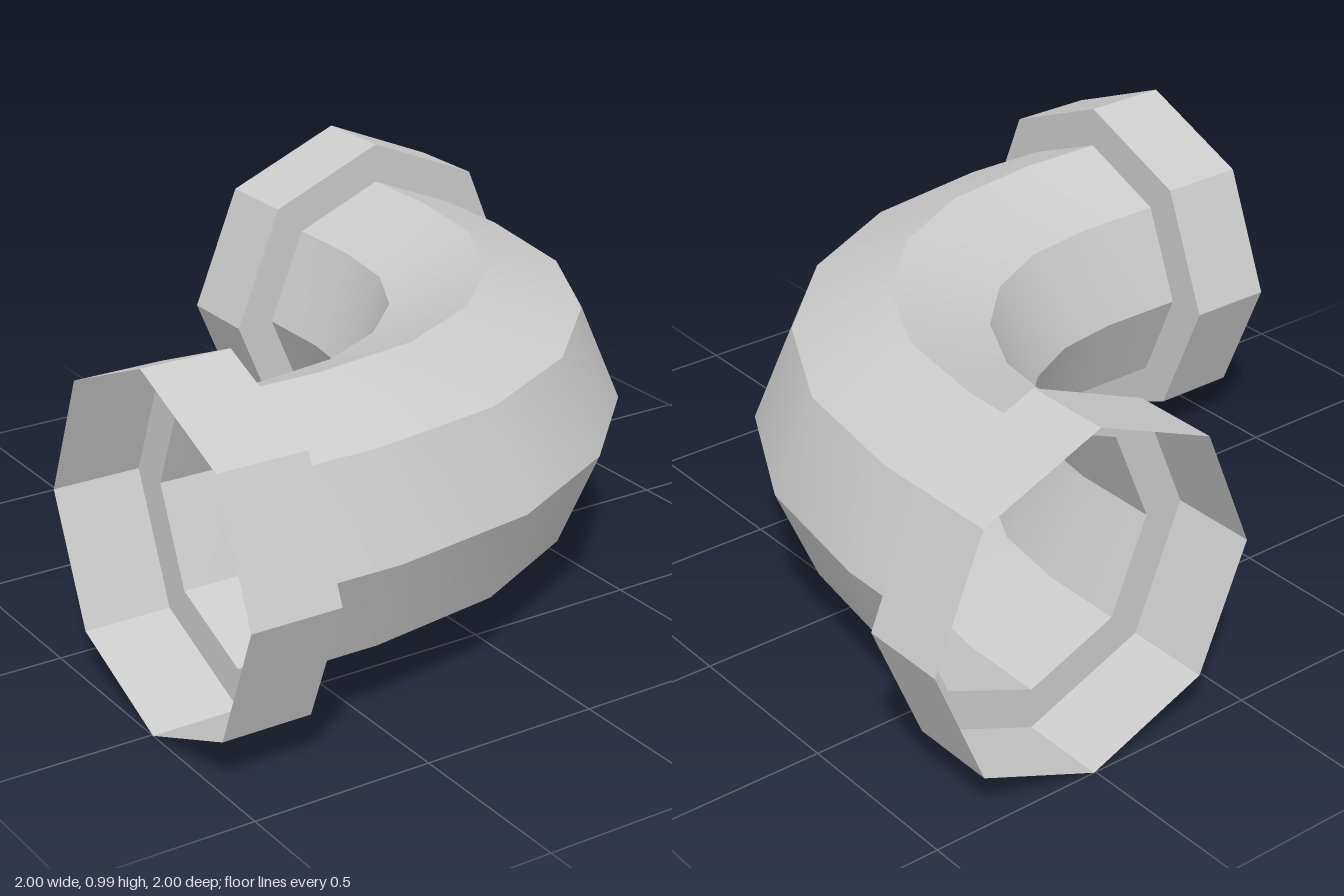
import * as THREE from 'three';
import { toCreasedNormals } from 'three/addons/utils/BufferGeometryUtils.js';

const SIDES = 8;
const BEND_STEPS = 5;
const BEND_CENTRE = -0.5;   // same in x and z
const BEND_RADIUS = 1.005;
const AXIS_HEIGHT = 0.495;
const PIPE_RADIUS = 0.378;
const COLLAR_RADIUS = 0.495;

// Octagonal cross-section: angle around the bend, distance along the tangent, radius
function section([angle, along, radius]) {
  const s = Math.sin(angle), c = Math.cos(angle);
  return Array.from({ length: SIDES }, (_, i) => {
    const a = (i / SIDES) * Math.PI * 2;
    const r = BEND_RADIUS + radius * Math.cos(a);
    return [
      BEND_CENTRE + r * s + along * c,
      AXIS_HEIGHT + radius * Math.sin(a),
      BEND_CENTRE + r * c - along * s,
    ];
  });
}

// Open skin through a row of sections, creased between the eight sides
function loft(stations) {
  const rings = stations.map(section);
  const positions = [];
  for (let j = 0; j < rings.length - 1; j++) {
    for (let i = 0; i < SIDES; i++) {
      const k = (i + 1) % SIDES;
      const a = rings[j][i], b = rings[j][k];
      const c = rings[j + 1][k], d = rings[j + 1][i];
      positions.push(...a, ...d, ...b, ...b, ...d, ...c);
    }
  }
  const geometry = new THREE.BufferGeometry();
  geometry.setAttribute('position', new THREE.Float32BufferAttribute(positions, 3));
  return toCreasedNormals(geometry, Math.PI / 6);
}

export function createModel() {
  const model = new THREE.Group();
  model.name = 'pipeElbow';
  const material = new THREE.MeshStandardMaterial({ color: 0xcccccc, side: THREE.DoubleSide });
  const add = (name, stations) => {
    const mesh = new THREE.Mesh(loft(stations), material);
    mesh.name = name;
    model.add(mesh);
  };
  const quarter = Math.PI / 2;

  // Hollow pipe: short straight, quarter bend, short straight
  const path = [[0, -0.25, PIPE_RADIUS]];
  for (let i = 0; i <= BEND_STEPS; i++) path.push([(quarter * i) / BEND_STEPS, 0, PIPE_RADIUS]);
  path.push([quarter, 0.25, PIPE_RADIUS]);
  add('pipe', path);

  // Open collars, each with a shoulder ring joining it to the pipe
  add('rightCollar', [
    [0, -0.5, COLLAR_RADIUS],
    [0, -0.25, COLLAR_RADIUS],
    [0, -0.25, PIPE_RADIUS],
  ]);
  add('backCollar', [
    [quarter, 0.25, PIPE_RADIUS],
    [quarter, 0.25, COLLAR_RADIUS],
    [quarter, 0.5, COLLAR_RADIUS],
  ]);
  return model;
}
